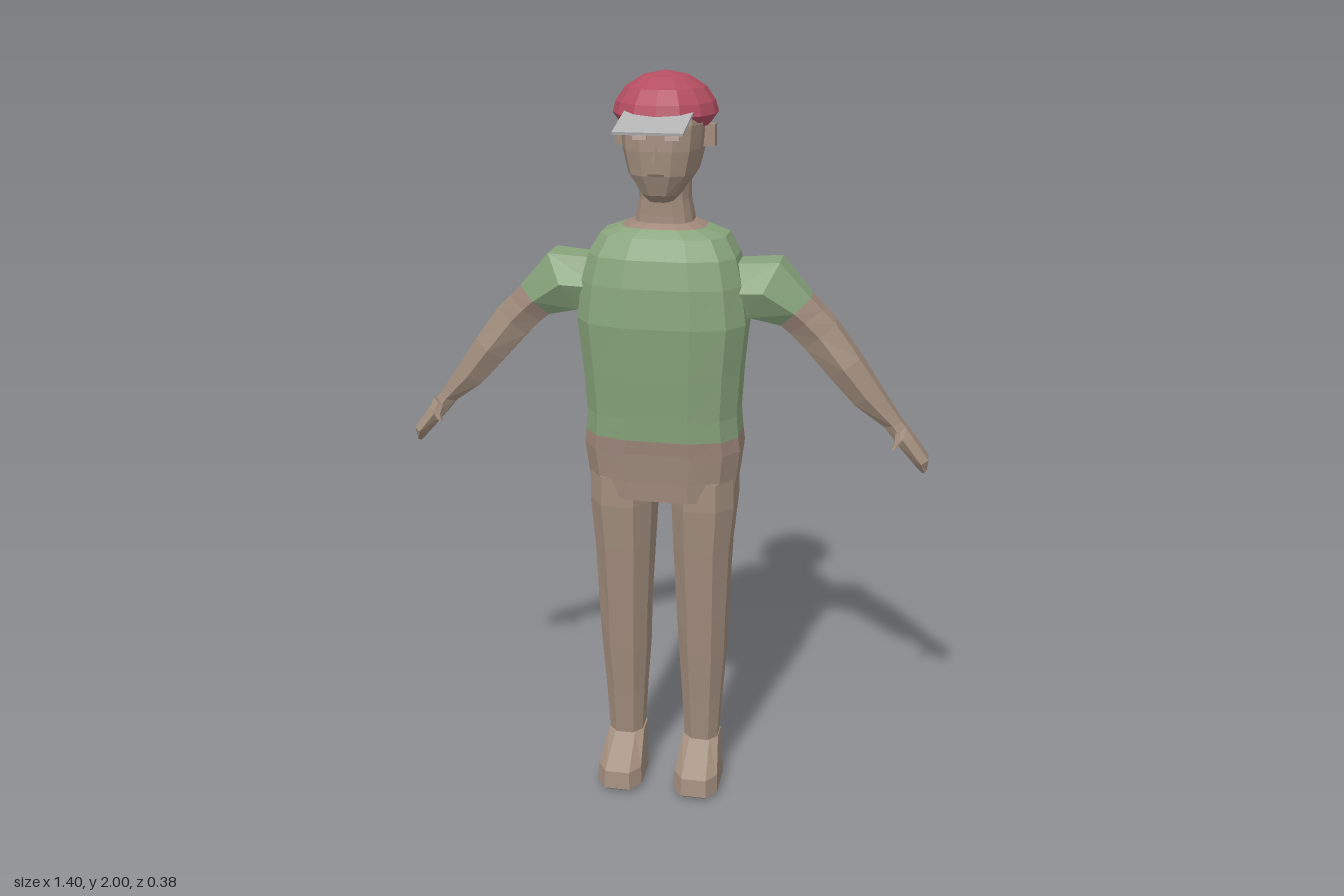
import * as THREE from 'three';

const mat = (name, color) => {
  const m = new THREE.MeshStandardMaterial({ color, flatShading: true });
  m.name = name;
  return m;
};

// Cross-section in n points: centre c, half-axes u and v, power p (below 1 is boxier)
function ring(c, u, v, n, p = 0.75) {
  const pow = (t) => Math.sign(t) * Math.abs(t) ** p;
  return Array.from({ length: n }, (_, j) => {
    const a = ((j + 0.5) / n) * Math.PI * 2;
    return c.clone().addScaledVector(u, pow(Math.cos(a))).addScaledVector(v, pow(Math.sin(a)));
  });
}

// Horizontal section from [y, xMin, xMax, zBack, zFront]
const level = (n, p, s = 1) => ([y, x0, x1, z0, z1]) => ring(
  new THREE.Vector3(s * (x0 + x1) / 2, y, (z0 + z1) / 2),
  new THREE.Vector3((x1 - x0) / 2, 0, 0), new THREE.Vector3(0, 0, (z1 - z0) / 2), n, p);

// Limb section from [topX, topY, bottomX, bottomY, zHalf, zCentre]
const limb = (n, s) => ([tx, ty, bx, by, h, z = -0.048]) => ring(
  new THREE.Vector3(s * (tx + bx) / 2, (ty + by) / 2, z),
  new THREE.Vector3(s * (tx - bx) / 2, (ty - by) / 2, 0), new THREE.Vector3(0, 0, h), n, 0.85);

// Closed skin over a list of sections, turned outward by its signed volume
function loft(name, rings, material) {
  const n = rings[0].length, tris = [];
  for (let i = 0; i + 1 < rings.length; i++) {
    for (let j = 0; j < n; j++) {
      const k = (j + 1) % n;
      const [a, b, c, d] = [rings[i][j], rings[i][k], rings[i + 1][k], rings[i + 1][j]];
      tris.push([a, d, b], [b, d, c]);
    }
  }
  const last = rings[rings.length - 1];
  for (let j = 1; j + 1 < n; j++) {
    tris.push([rings[0][0], rings[0][j], rings[0][j + 1]], [last[0], last[j + 1], last[j]]);
  }
  const o = rings[0][0], v = new THREE.Vector3(), w = new THREE.Vector3(), q = new THREE.Vector3();
  let volume = 0;
  for (const [a, b, c] of tris) {
    volume += v.subVectors(a, o).dot(w.subVectors(b, o).cross(q.subVectors(c, o)));
  }
  const pts = tris.flatMap(([a, b, c]) => (volume < 0 ? [a, c, b] : [a, b, c]));
  const g = new THREE.BufferGeometry().setFromPoints(pts);
  g.computeVertexNormals();
  const mesh = new THREE.Mesh(g, material);
  mesh.name = name;
  return mesh;
}

function box(name, size, pos, material) {
  const mesh = new THREE.Mesh(new THREE.BoxGeometry(...size), material);
  mesh.position.set(...pos);
  mesh.name = name;
  return mesh;
}

export function createModel() {
  const model = new THREE.Group();
  model.name = 'figure';
  const skin = mat('skin', 0xa08c7c), shirt = mat('shirt green', 0x88a47c);
  const hem = mat('shirt edge', 0x9f877a), red = mat('cap red', 0xb54e62);
  const grey = mat('visor grey', 0xb4b4b4), hair = mat('hair grey', 0xc4c4c2);
  const dark = mat('mouth brown', 0x75625a), pale = mat('eye pale', 0xc0aaa0);

  // Torso, in bands from hips to collar: [y, halfWidth, zBack, zFront]
  const body = (name, rows, m) => model.add(loft(name,
    rows.map(([y, w, z0, z1]) => level(12, 0.68)([y, -w, w, z0, z1])), m));
  body('hips', [[0.895, 0.197, -0.172, 0.068], [0.95, 0.205, -0.18, 0.072],
    [1.03, 0.215, -0.178, 0.08]], skin);
  body('hem', [[1.03, 0.215, -0.178, 0.08], [1.07, 0.21, -0.176, 0.084]], hem);
  body('shirt', [[1.07, 0.21, -0.176, 0.084], [1.13, 0.205, -0.175, 0.088],
    [1.25, 0.212, -0.175, 0.098], [1.38, 0.225, -0.175, 0.107], [1.48, 0.212, -0.172, 0.1],
    [1.55, 0.195, -0.167, 0.085], [1.6, 0.165, -0.155, 0.06], [1.62, 0.11, -0.135, 0.035]], shirt);
  body('collar', [[1.62, 0.11, -0.135, 0.035], [1.632, 0.08, -0.12, 0.018]], hem);
  body('neck', [[1.6, 0.08, -0.118, 0.015], [1.65, 0.073, -0.115, 0.012],
    [1.69, 0.065, -0.11, 0.012], [1.73, 0.065, -0.11, 0.012]], skin);

  for (const s of [1, -1]) {
    const side = s > 0 ? 'left' : 'right';
    // Leg and foot
    model.add(loft(side + 'Leg', [
      [0.95, 0.022, 0.2, -0.165, 0.062], [0.87, 0.022, 0.202, -0.165, 0.066],
      [0.74, 0.028, 0.19, -0.145, 0.058], [0.53, 0.038, 0.182, -0.115, 0.038],
      [0.41, 0.043, 0.178, -0.135, 0.028], [0.27, 0.052, 0.168, -0.118, 0.014],
      [0.12, 0.06, 0.16, -0.1, 0.002],
    ].map(level(8, 0.75, s)), skin));
    model.add(loft(side + 'Foot', [
      [0.135, 0.055, 0.163, -0.102, 0], [0.065, 0.046, 0.175, -0.082, 0.112],
      [0.015, 0.042, 0.178, -0.072, 0.12], [0, 0.055, 0.165, -0.062, 0.1],
    ].map(level(8, 0.65, s)), skin));

    // Sleeve, its edge, bare arm with hand, thumb
    const arm = (name, rows, m) => model.add(loft(side + name, rows.map(limb(6, s)), m));
    const cuffA = [0.385, 1.455, 0.3, 1.37, 0.06], cuffB = [0.415, 1.425, 0.325, 1.35, 0.055];
    arm('Sleeve', [[0.16, 1.54, 0.16, 1.38, 0.07], [0.305, 1.55, 0.22, 1.385, 0.085], cuffA], shirt);
    arm('SleeveEdge', [cuffA, cuffB], hem);
    arm('Arm', [cuffB, [0.45, 1.39, 0.365, 1.31, 0.05], [0.515, 1.3, 0.43, 1.24, 0.055],
      [0.568, 1.22, 0.5, 1.165, 0.046], [0.628, 1.13, 0.58, 1.11, 0.032],
      [0.66, 1.09, 0.612, 1.07, 0.038], [0.703, 1.03, 0.662, 1.015, 0.042],
      [0.699, 1, 0.686, 0.99, 0.028]], skin);
    arm('Thumb', [[0.64, 1.125, 0.61, 1.1, 0.014, -0.02], [0.637, 1.105, 0.61, 1.085, 0.012, 0.012],
      [0.62, 1.08, 0.603, 1.068, 0.008, 0.023]], skin);

    // Ear and eye
    model.add(box(side + 'Ear', [0.03, 0.055, 0.035], [s * 0.111, 1.845, -0.056], skin));
    model.add(box(side + 'Eye', [0.035, 0.01, 0.008], [s * 0.04, 1.853, 0.083], pale));
  }

  // Head, hair and face
  body('head', [[1.69, 0.032, -0.085, 0.045], [1.71, 0.052, -0.105, 0.066],
    [1.76, 0.085, -0.145, 0.084], [1.82, 0.1, -0.163, 0.087], [1.88, 0.105, -0.168, 0.083],
    [1.92, 0.1, -0.16, 0.06]], skin);
  body('hair', [[1.765, 0.068, -0.15, -0.07], [1.82, 0.1, -0.168, -0.04],
    [1.84, 0.107, -0.173, 0], [1.9, 0.111, -0.176, 0.025]], hair);
  const nose = new THREE.Mesh(new THREE.ConeGeometry(0.014, 0.045, 4), skin);
  nose.name = 'nose';
  nose.position.set(0, 1.815, 0.085);
  model.add(nose, box('mouth', [0.04, 0.005, 0.008], [0, 1.763, 0.08], dark));

  // Cap dome and flat visor
  const profile = [[0.112, 1.872], [0.132, 1.9], [0.124, 1.928], [0.1, 1.962], [0.058, 1.988], [0, 2]];
  const cap = new THREE.Mesh(new THREE.LatheGeometry(
    profile.map(([x, y]) => new THREE.Vector2(x, y)), 14), red);
  cap.name = 'cap';
  cap.material.side = THREE.DoubleSide;
  cap.scale.z = 1.05;
  cap.position.z = -0.052;
  const visor = box('visor', [0.17, 0.007, 0.16], [0, 1.894, 0.111], grey);
  visor.rotation.x = 0.21;
  model.add(cap, visor);
  return model;
}
